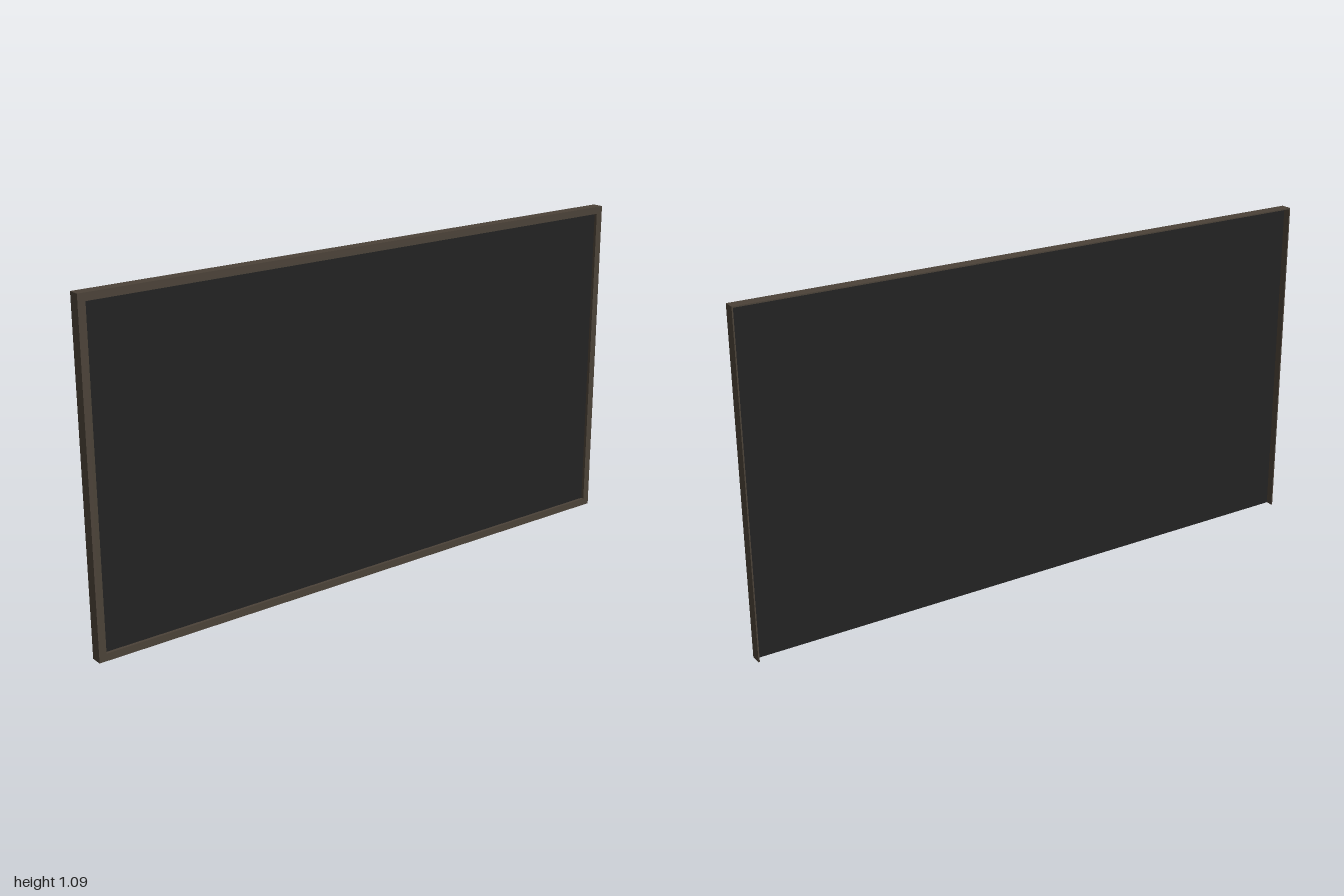
import * as THREE from 'three';

const L = 2, H = 1.09, D = 0.038; // length along z, height, depth along x
const LIP = 0.024, WALL = 0.004;

export function createModel() {
  const model = new THREE.Group();
  model.name = 'framedScreen';

  const frameMat = new THREE.MeshStandardMaterial({ color: 0x4b4238 });
  frameMat.name = 'dark bronze';
  const panelMat = new THREE.MeshStandardMaterial({ color: 0x222222 });
  panelMat.name = 'black';

  const add = (name, geometry, material, x, y, z) => {
    const mesh = new THREE.Mesh(geometry, material);
    mesh.name = name;
    mesh.position.set(x, y, z);
    model.add(mesh);
    return mesh;
  };

  // Raised border on the +x face, a rectangle with a hole
  const border = new THREE.Shape();
  border.moveTo(-L / 2, 0).lineTo(L / 2, 0).lineTo(L / 2, H).lineTo(-L / 2, H).closePath();
  const hole = new THREE.Path();
  const w = L / 2 - LIP;
  hole.moveTo(-w, LIP).lineTo(-w, H - LIP).lineTo(w, H - LIP).lineTo(w, LIP).closePath();
  border.holes.push(hole);
  const lip = new THREE.ExtrudeGeometry(border, { depth: 0.01, bevelEnabled: false });
  lip.rotateY(Math.PI / 2);
  add('frontBorder', lip, frameMat, D / 2 - 0.01, 0, 0);

  // Recessed screen sheet, set close behind the border
  add('screenPanel', new THREE.BoxGeometry(0.004, H - WALL, L - 2 * WALL), panelMat,
    D / 2 - 0.012, (H - WALL) / 2, 0);

  // Thin top and end walls; the back and the underside stay open
  add('topWall', new THREE.BoxGeometry(D, WALL, L), frameMat, 0, H - WALL / 2, 0);
  for (const side of [-1, 1]) {
    add(side > 0 ? 'frontEndWall' : 'backEndWall',
      new THREE.BoxGeometry(D, H, WALL), frameMat, 0, H / 2, side * (L - WALL) / 2);
  }

  return model;
}
